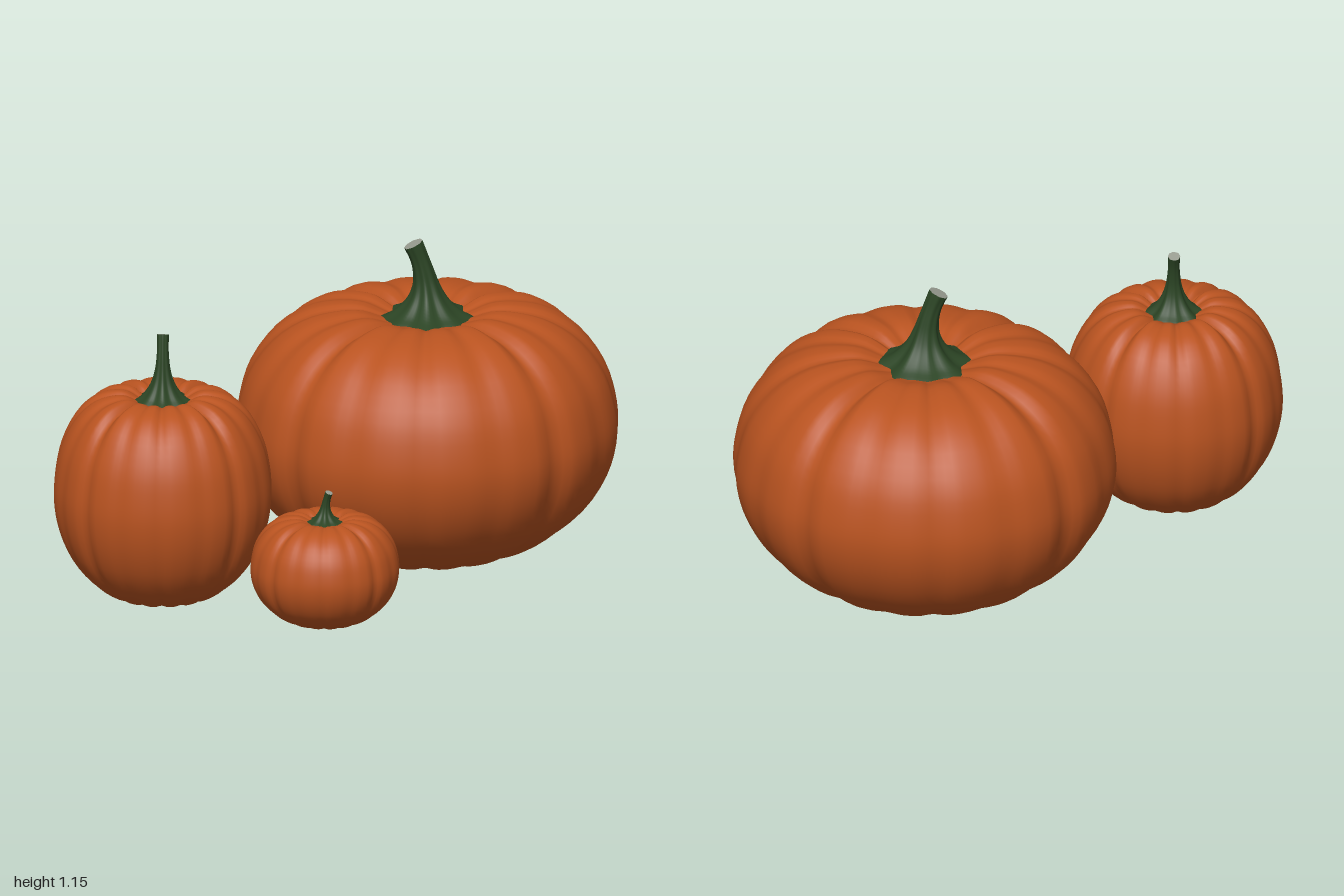
import * as THREE from 'three';
import { ParametricGeometry } from 'three/addons/geometries/ParametricGeometry.js';

const V = (x, y, z = 0) => new THREE.Vector3(x, y, z);
const curve = (pts) => new THREE.CatmullRomCurve3(pts.map(([a, b]) => V(a, b)), false, 'centripetal');

// Body outline: radius and height as fractions of the full size, bottom to top
const BODY = curve([
  [0.29, 0.02], [0.37, 0.01], [0.5, 0.03], [0.69, 0.105], [0.865, 0.23], [0.965, 0.37], [1, 0.5],
  [0.985, 0.62], [0.93, 0.75], [0.8, 0.885], [0.64, 0.965], [0.48, 0.996], [0.35, 0.998], [0.22, 0.965], [0.06, 0.93],
]);
// Stem outline: radius as a fraction of the base radius, against position along the stem
const STEM = curve([
  [1, 0], [0.74, 0.07], [0.52, 0.18], [0.38, 0.3], [0.28, 0.46], [0.23, 0.64], [0.21, 0.82], [0.225, 1],
]);

// Soft rib grooves, deepest on the diagonals and shallowest between
function groove(a) {
  const dip = (0.5 + 0.5 * Math.cos(16 * a)) ** 2;
  return dip * (0.55 - 0.25 * Math.cos(4 * a) + 0.2 * Math.cos(8 * a));
}

function mesh(name, fn, slices, stacks, material) {
  const m = new THREE.Mesh(new ParametricGeometry(fn, slices, stacks), material);
  m.name = name;
  return m;
}

function pumpkin({ name, at, radius, height, stem }, mats) {
  const group = new THREE.Group();
  group.name = name;
  group.position.set(at[0], 0, at[1]);

  // Ribbed body
  const skin = (u, v, target) => {
    const a = u * Math.PI * 2;
    const p = BODY.getPoint(v);
    const g = groove(a);
    const r = p.x * radius * (1.008 - 0.034 * g);
    const topDip = THREE.MathUtils.smoothstep(p.y, 0.75, 1) * Math.min(1, p.x * 2.5);
    const baseRise = 1 - THREE.MathUtils.smoothstep(p.y, 0, 0.2);
    target.set(Math.sin(a) * r, height * (p.y + g * (0.015 * baseRise - 0.03 * topDip)), Math.cos(a) * r);
  };
  group.add(mesh('body', skin, 128, 44, mats.skin));

  // Pale patch underneath
  group.add(mesh('basePatch', (u, v, target) => {
    skin(u, 0, target);
    target.x *= v;
    target.z *= v;
  }, 128, 2, mats.cut));

  // Flared, ribbed stem that leans towards its tip
  const path = new THREE.CubicBezierCurve3(
    V(0, stem.base), V(0, THREE.MathUtils.lerp(stem.base, stem.top, 0.4)),
    V(stem.lean[0] * 0.1, THREE.MathUtils.lerp(stem.base, stem.top, 0.65), stem.lean[1] * 0.1),
    V(stem.lean[0], stem.top, stem.lean[1]));
  const stalk = (u, v, target) => {
    const a = u * Math.PI * 2;
    const p = STEM.getPoint(v);
    const t = path.getTangent(p.y);
    const side = V(t.y, -t.x, 0).normalize();
    const front = side.clone().cross(t);
    const rib = 1 + (0.03 + 0.04 * (1 - v)) * Math.cos(8 * a) + 0.06 * (1 - v) * Math.cos(5 * a);
    const r = stem.radius * p.x * rib;
    target.copy(path.getPoint(p.y)).addScaledVector(side, Math.sin(a) * r).addScaledVector(front, Math.cos(a) * r);
  };
  group.add(mesh('stem', stalk, 48, 24, mats.stem));

  // Cut end of the stem
  group.add(mesh('stemCut', (u, v, target) => {
    stalk(u, 1, target);
    target.lerp(path.getPoint(1), v);
  }, 48, 2, mats.cut));
  return group;
}

export function createModel() {
  const material = (name, color) => Object.assign(new THREE.MeshStandardMaterial({ color }), { name });
  const mats = {
    skin: material('orange skin', 0xb95320),
    stem: material('dark green stem', 0x2b4424),
    cut: material('pale grey cut', 0x989c90),
  };
  const model = new THREE.Group();
  model.name = 'pumpkins';
  const list = [
    { name: 'largePumpkin', at: [0.32, -0.215], radius: 0.68, height: 0.9,
      stem: { base: 0.868, top: 1.14, radius: 0.155, lean: [-0.05, 0.005] } },
    { name: 'tallPumpkin', at: [-0.61, 0.355], radius: 0.388, height: 0.76,
      stem: { base: 0.735, top: 0.972, radius: 0.095, lean: [0, -0.03] } },
    { name: 'smallPumpkin', at: [-0.025, 0.625], radius: 0.265, height: 0.385,
      stem: { base: 0.372, top: 0.485, radius: 0.06, lean: [0.015, 0.01] } },
  ];
  for (const spec of list) model.add(pumpkin(spec, mats));
  return model;
}
